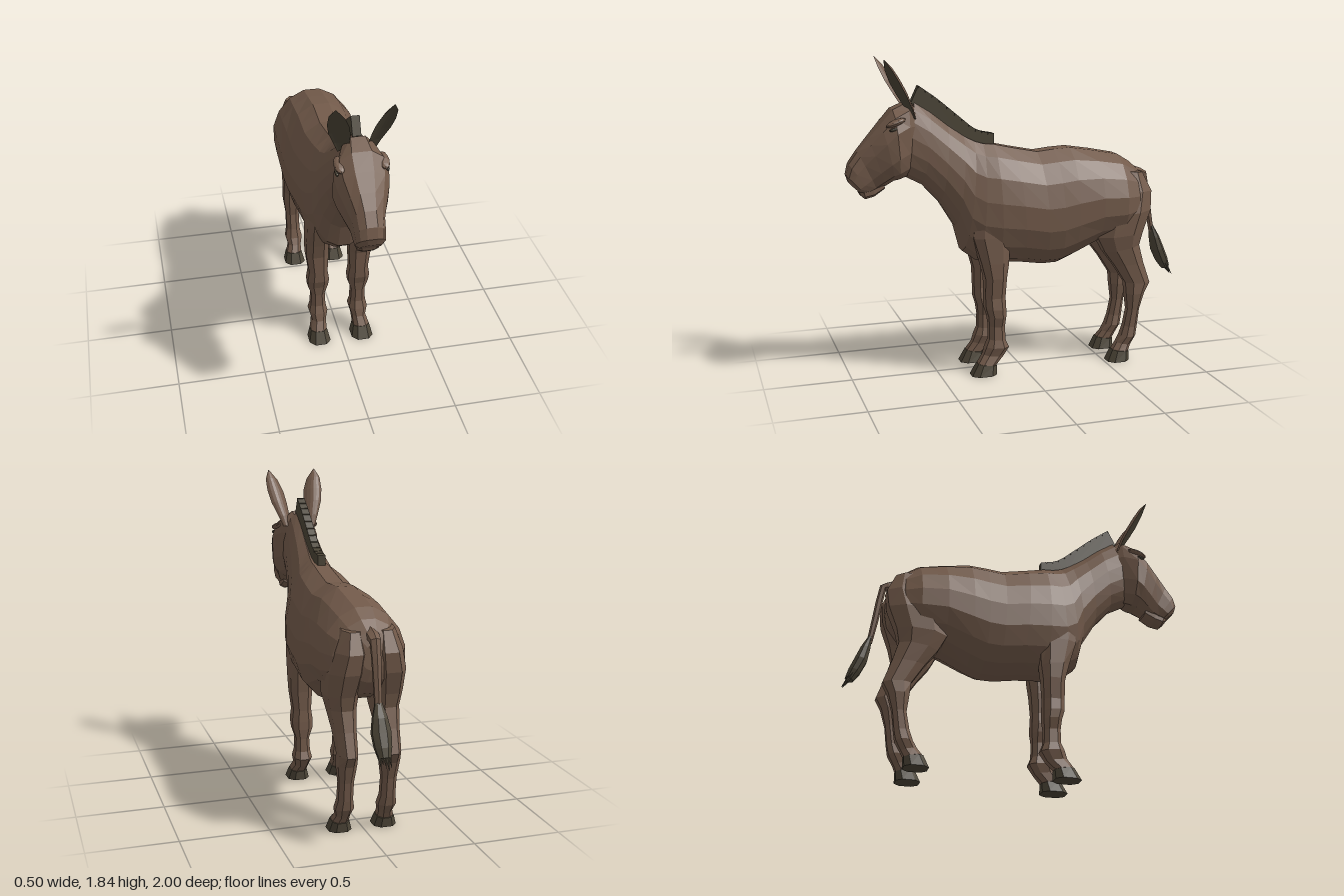
import * as THREE from 'three';

const coat = new THREE.MeshStandardMaterial({ name: 'brownCoat', color: 0x725a4a, flatShading: true });
const dark = new THREE.MeshStandardMaterial({ name: 'darkHair', color: 0x4b4436, flatShading: true });

function build(verts, faces) {
  const g = new THREE.BufferGeometry();
  g.setAttribute('position', new THREE.Float32BufferAttribute(verts, 3));
  g.setIndex(faces);
  g.computeVertexNormals();
  return g;
}

// Closed loft. Each ring: [front/top z, y, back/bottom z, y, half width, centre x]
// power squares the section off, sag lowers its widest point
function loft(rings, sides, power = 1, sag = 0) {
  const v = [], f = [], n = rings.length;
  const pw = c => Math.sign(c) * Math.abs(c) ** power;
  for (const [az, ay, bz, by, w, x = 0] of rings) {
    for (let i = 0; i < sides; i++) {
      const a = (i + 0.5) / sides * Math.PI * 2;
      const s = pw(Math.sin(a)) / 2 - sag * Math.cos(a) ** 2;
      v.push(x + w * pw(Math.cos(a)), (ay + by) / 2 + (ay - by) * s, (az + bz) / 2 + (az - bz) * s);
    }
  }
  for (let r = 0; r < n - 1; r++) {
    for (let i = 0; i < sides; i++) {
      const j = (i + 1) % sides, a = r * sides + i, b = r * sides + j;
      f.push(a, b, b + sides, a, b + sides, a + sides);
    }
  }
  const last = (n - 1) * sides;
  for (let i = 1; i < sides - 1; i++) f.push(0, i + 1, i, last, last + i, last + i + 1);
  // turn the faces outward if the signed volume is negative
  const p = i => new THREE.Vector3().fromArray(v, i * 3);
  let vol = 0;
  for (let i = 0; i < f.length; i += 3) vol += p(f[i]).dot(p(f[i + 1]).cross(p(f[i + 2])));
  if (vol < 0) f.reverse();
  return build(v, f);
}

// Curved leaf surface for one side of an ear, its opening turned outward
function earSurface(side, depth, flip) {
  const rows = [ // x, y, z, half width
    [0.075, 1.5, 0.63, 0.026], [0.088, 1.56, 0.655, 0.038], [0.107, 1.64, 0.7, 0.053],
    [0.12, 1.71, 0.74, 0.055], [0.135, 1.78, 0.775, 0.04], [0.147, 1.835, 0.8, 0.003]];
  const v = [], f = [], n = 7;
  for (const [x, y, z, w] of rows) {
    for (let i = 0; i < n; i++) {
      const u = i / (n - 1) * 2 - 1, d = depth * (w / 0.055) * (1 - u * u);
      v.push(side * (x + w * u), y + d * 0.45 + 0.12 * w * u, z - d * 0.9 - 0.28 * w * u);
    }
  }
  for (let r = 0; r < rows.length - 1; r++) {
    for (let i = 0; i < n - 1; i++) {
      const a = r * n + i;
      f.push(a, a + 1, a + n + 1, a, a + n + 1, a + n);
    }
  }
  if ((side < 0) !== flip) f.reverse();
  return build(v, f);
}

export function createModel() {
  const model = new THREE.Group();
  model.name = 'donkey';
  const add = (name, geo, mat) => {
    const m = new THREE.Mesh(geo, mat);
    m.name = name;
    model.add(m);
    return m;
  };

  // Trunk and neck, from rump to throat
  add('body', loft([
    [-0.765, 1.08, -0.77, 0.94, 0.06], [-0.74, 1.145, -0.75, 0.87, 0.135],
    [-0.68, 1.2, -0.69, 0.79, 0.205], [-0.6, 1.25, -0.6, 0.74, 0.245],
    [-0.45, 1.28, -0.45, 0.72, 0.253], [-0.3, 1.305, -0.3, 0.645, 0.25],
    [-0.2, 1.3, -0.22, 0.612, 0.247], [-0.1, 1.29, -0.13, 0.61, 0.243],
    [0.05, 1.32, 0.0, 0.63, 0.236], [0.16, 1.345, 0.15, 0.64, 0.224],
    [0.22, 1.35, 0.27, 0.66, 0.203], [0.27, 1.365, 0.35, 0.72, 0.178],
    [0.33, 1.395, 0.39, 0.87, 0.152], [0.42, 1.455, 0.475, 1.01, 0.128],
    [0.52, 1.535, 0.575, 1.12, 0.112], [0.61, 1.595, 0.69, 1.18, 0.1]], 16, 1, 0.06), coat);

  // Head from poll to muzzle
  add('head', loft([
    [0.6, 1.56, 0.6, 1.25, 0.075], [0.65, 1.6, 0.66, 1.175, 0.11],
    [0.74, 1.56, 0.71, 1.16, 0.15], [0.81, 1.48, 0.74, 1.155, 0.14],
    [0.88, 1.4, 0.79, 1.125, 0.112], [0.94, 1.33, 0.83, 1.1, 0.088],
    [0.988, 1.262, 0.865, 1.09, 0.083], [1.003, 1.2, 0.9, 1.09, 0.078],
    [0.988, 1.155, 0.93, 1.1, 0.056]], 12, 0.78), coat);
  add('lowerLip', loft([
    [0.8, 1.16, 0.79, 1.11, 0.06], [0.86, 1.14, 0.85, 1.07, 0.066],
    [0.915, 1.13, 0.9, 1.058, 0.062], [0.94, 1.12, 0.925, 1.08, 0.04]], 8, 0.8), coat);

  for (const s of [1, -1]) {
    const side = s > 0 ? 'left' : 'right';

    // Ears, brows and eyes
    add(side + 'EarBack', earSurface(s, 0.03, true), coat);
    add(side + 'EarInside', earSurface(s, 0.012, false), dark);
    const brow = add(side + 'Brow', new THREE.IcosahedronGeometry(1, 1), coat);
    brow.scale.set(0.03, 0.018, 0.06);
    brow.position.set(s * 0.115, 1.49, 0.735);
    brow.rotation.x = 0.35;
    const eye = add(side + 'Eye', new THREE.IcosahedronGeometry(1, 1), dark);
    eye.scale.set(0.01, 0.009, 0.024);
    eye.position.set(s * 0.132, 1.455, 0.752);
    eye.rotation.x = 0.25;

    // Front leg and hoof
    const x = s * 0.122, hx = s * 0.13;
    add(side + 'FrontLeg', loft([
      [0.31, 0.98, 0.1, 0.98, 0.05, s * 0.14], [0.32, 0.82, 0.09, 0.82, 0.062, s * 0.135],
      [0.275, 0.68, 0.1, 0.66, 0.069, s * 0.13], [0.248, 0.58, 0.112, 0.58, 0.07, s * 0.127],
      [0.246, 0.46, 0.119, 0.46, 0.058, x], [0.244, 0.4, 0.116, 0.39, 0.068, x],
      [0.228, 0.35, 0.116, 0.34, 0.064, x], [0.221, 0.29, 0.122, 0.28, 0.043, x],
      [0.222, 0.21, 0.118, 0.2, 0.047, x], [0.242, 0.165, 0.098, 0.155, 0.058, x],
      [0.257, 0.12, 0.133, 0.1, 0.043, x], [0.29, 0.07, 0.178, 0.055, 0.05, hx]], 8, 0.8), coat);
    add(side + 'FrontHoof', loft([
      [0.292, 0.07, 0.175, 0.053, 0.051, hx], [0.332, 0, 0.175, 0, 0.068, hx]], 8, 0.75), dark);

    // Hind leg with thigh and hock
    add(side + 'HindLeg', loft([
      [-0.57, 1.16, -0.74, 1.14, 0.06, s * 0.09], [-0.5, 1.04, -0.795, 1.03, 0.095, s * 0.098],
      [-0.44, 0.9, -0.785, 0.92, 0.108, s * 0.115], [-0.43, 0.77, -0.735, 0.79, 0.094, s * 0.125],
      [-0.48, 0.68, -0.715, 0.71, 0.077, x], [-0.55, 0.59, -0.745, 0.6, 0.063, x],
      [-0.622, 0.48, -0.79, 0.47, 0.055, x], [-0.63, 0.41, -0.755, 0.41, 0.058, x],
      [-0.643, 0.31, -0.725, 0.31, 0.045, x], [-0.623, 0.21, -0.712, 0.2, 0.045, x],
      [-0.603, 0.15, -0.702, 0.145, 0.057, x], [-0.578, 0.11, -0.672, 0.09, 0.043, x],
      [-0.548, 0.07, -0.655, 0.055, 0.05, hx]], 8, 0.92), coat);
    add(side + 'HindHoof', loft([
      [-0.546, 0.07, -0.657, 0.053, 0.051, hx], [-0.513, 0, -0.655, 0, 0.068, hx]], 8, 0.75), dark);
  }

  // Upright mane with a notched crest
  const crest = new THREE.CatmullRomCurve3([
    [0.15, 1.395], [0.25, 1.42], [0.36, 1.505], [0.48, 1.605], [0.585, 1.68]]
    .map(([z, y]) => new THREE.Vector3(z, y, 0)));
  const mane = new THREE.Shape();
  mane.moveTo(0.63, 1.585);
  mane.lineTo(0.5, 1.5);
  mane.lineTo(0.32, 1.36);
  mane.lineTo(0.15, 1.31);
  const tufts = 11;
  for (let i = 0; i < tufts; i++) {
    const a = crest.getPoint(i / tufts), b = crest.getPoint((i + 0.85) / tufts);
    mane.lineTo(a.x, a.y);
    mane.lineTo(b.x, b.y);
    mane.lineTo(b.x + 0.008, b.y - 0.012);
  }
  mane.lineTo(0.585, 1.68);
  const maneGeo = new THREE.ExtrudeGeometry(mane, { depth: 0.046, bevelEnabled: false });
  maneGeo.translate(0, 0, -0.023);
  maneGeo.rotateY(-Math.PI / 2);
  add('mane', maneGeo, dark);

  // Tail, tuft and loose hair ends
  add('tail', loft([
    [-0.7, 1.17, -0.71, 1.09, 0.035], [-0.77, 1.145, -0.755, 1.09, 0.036],
    [-0.808, 1.122, -0.775, 1.09, 0.032], [-0.828, 1.02, -0.788, 1.02, 0.028],
    [-0.845, 0.9, -0.806, 0.9, 0.024], [-0.868, 0.75, -0.836, 0.75, 0.022]], 6), coat);
  add('tailTuft', loft([
    [-0.86, 0.79, -0.836, 0.79, 0.02], [-0.9, 0.72, -0.843, 0.71, 0.044],
    [-0.93, 0.65, -0.857, 0.63, 0.057], [-0.96, 0.58, -0.89, 0.56, 0.05],
    [-0.974, 0.53, -0.928, 0.51, 0.036]], 8), dark);
  for (let i = -2; i <= 2; i++) {
    const hair = add('tailHairEnd', new THREE.ConeGeometry(0.014, 0.09, 4), dark);
    hair.position.set(i * 0.014, 0.512 + (i % 2) * 0.012, -0.96 + (i % 2) * 0.008);
    hair.rotation.x = Math.PI + 0.6;
  }
  return model;
}
